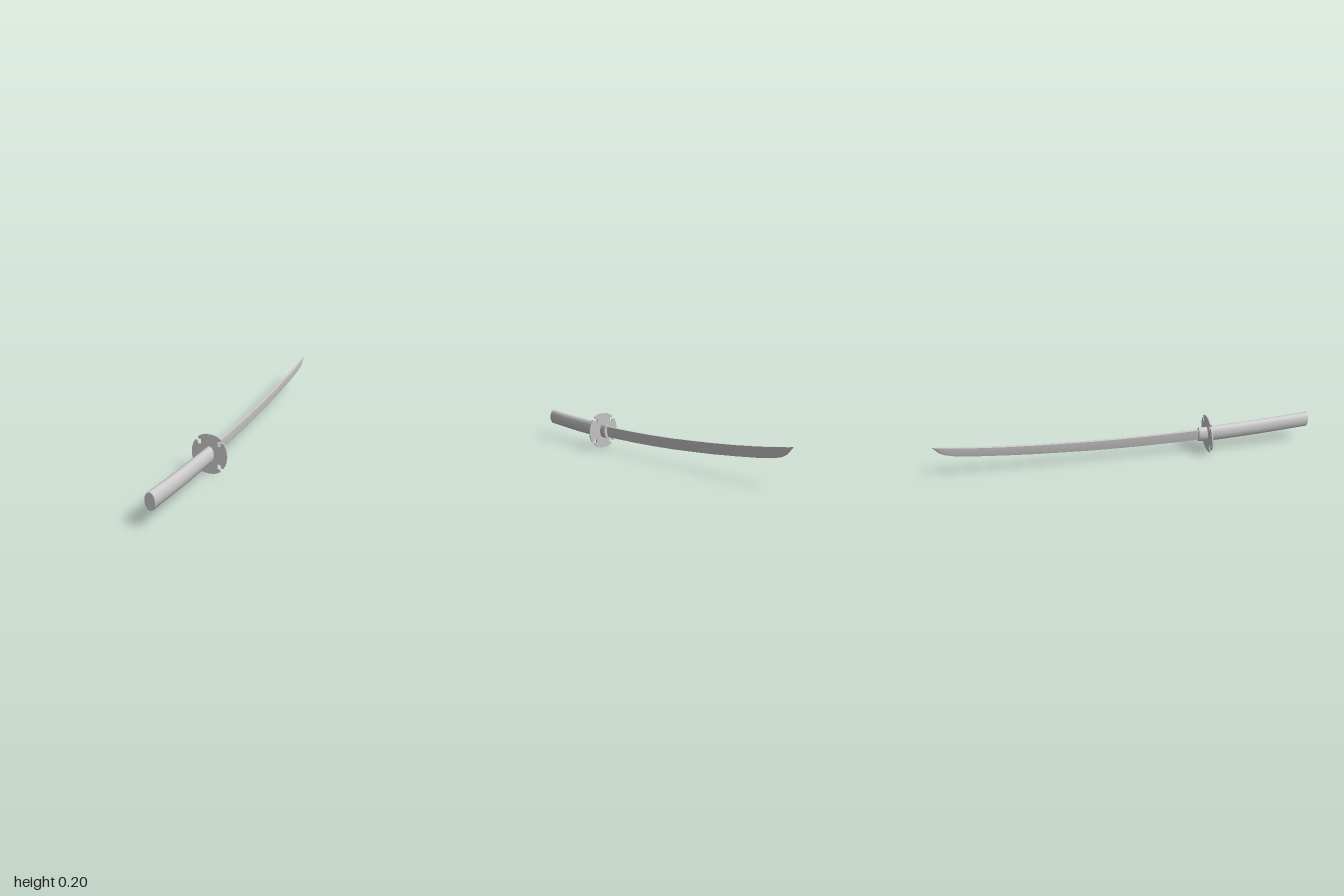
import * as THREE from 'three';
import { toCreasedNormals } from 'three/addons/utils/BufferGeometryUtils.js';

const material = new THREE.MeshStandardMaterial({ color: 0xcccccc });

// Skin a list of rings (counter-clockwise in xy, running towards -z) and cap both ends.
function loft(rings, crease) {
  const n = rings[0].length, last = (rings.length - 1) * n, index = [];
  for (let r = 0; r < last; r += n) {
    for (let i = 0; i < n; i++) {
      const a = r + i, b = r + (i + 1) % n;
      index.push(a, a + n, b, b, a + n, b + n);
    }
  }
  for (let i = 1; i < n - 1; i++) {
    index.push(0, i, i + 1, last, last + i + 1, last + i);
  }
  const geometry = new THREE.BufferGeometry();
  geometry.setAttribute('position', new THREE.Float32BufferAttribute(rings.flat(2), 3));
  geometry.setIndex(index);
  return toCreasedNormals(geometry, crease);
}

// Oval ring, 12 sided, with points at top and bottom.
function oval(z, y, halfWidth, halfHeight) {
  return Array.from({ length: 12 }, (_, i) => {
    const a = i * Math.PI / 6;
    return [halfWidth * Math.cos(a), y + halfHeight * Math.sin(a), z];
  });
}

// Blade ring: flat spine on top, sides bellied slightly, sharp edge below.
function bladeRing([z, top, bottom, w]) {
  const mid = (top + bottom) / 2;
  return [[w, top, z], [-w, top, z], [-0.75 * w, mid, z], [0, bottom, z], [0.75 * w, mid, z]];
}

export function createModel() {
  const model = new THREE.Group();
  const add = (name, geometry) => {
    const mesh = new THREE.Mesh(geometry, material);
    mesh.name = name;
    model.add(mesh);
    return mesh;
  };

  // Handle: oval bar that rises gently towards the pommel end
  const handlePath = [[1, 0.129], [0.85, 0.119], [0.7, 0.11], [0.55, 0.104], [0.43, 0.1]];
  add('handle', loft(handlePath.map(([z, y]) => oval(z, y, 0.025, 0.043)), 1.05));

  // Collar between guard and blade
  add('collar', loft([oval(0.435, 0.102, 0.023, 0.041), oval(0.38, 0.101, 0.023, 0.041)], 1.05));

  // Blade: z, spine height, edge height, half thickness
  const bladeSections = [
    [0.43, 0.129, 0.069, 0.008], [0.25, 0.126, 0.067, 0.008], [0.1, 0.125, 0.067, 0.008],
    [-0.05, 0.126, 0.069, 0.008], [-0.2, 0.129, 0.073, 0.008], [-0.35, 0.135, 0.08, 0.008],
    [-0.5, 0.142, 0.088, 0.008], [-0.65, 0.151, 0.099, 0.008], [-0.8, 0.163, 0.112, 0.0075],
    [-0.89, 0.172, 0.123, 0.007], [-0.94, 0.178, 0.135, 0.006], [-0.97, 0.181, 0.151, 0.004],
    [-1, 0.185, 0.184, 0.0005],
  ];
  add('blade', loft(bladeSections.map(bladeRing), 0.7));

  // Guard: oval plate with four diagonal notches, one quadrant mirrored round
  const quadrant = [
    [0, 0.1], [0.025, 0.098], [0.042, 0.092], [0.06, 0.081], [0.055, 0.071], [0.043, 0.068],
    [0.043, 0.046], [0.057, 0.046], [0.062, 0.061], [0.072, 0.065], [0.084, 0.045],
    [0.09, 0.022], [0.092, 0],
  ];
  const flip = (sx, sy) => quadrant.map(([x, y]) => new THREE.Vector2(x * sx, y * sy));
  const outline = [
    ...flip(1, 1).slice(0, -1), ...flip(1, -1).reverse().slice(0, -1),
    ...flip(-1, -1).slice(0, -1), ...flip(-1, 1).reverse().slice(0, -1),
  ];
  const plate = new THREE.ExtrudeGeometry(new THREE.Shape(outline), { depth: 0.008, bevelEnabled: false });
  plate.translate(0, 0, -0.004);
  const guard = add('guard', plate);
  guard.position.set(0, 0.102, 0.431);
  guard.rotation.x = -0.05;

  return model;
}
